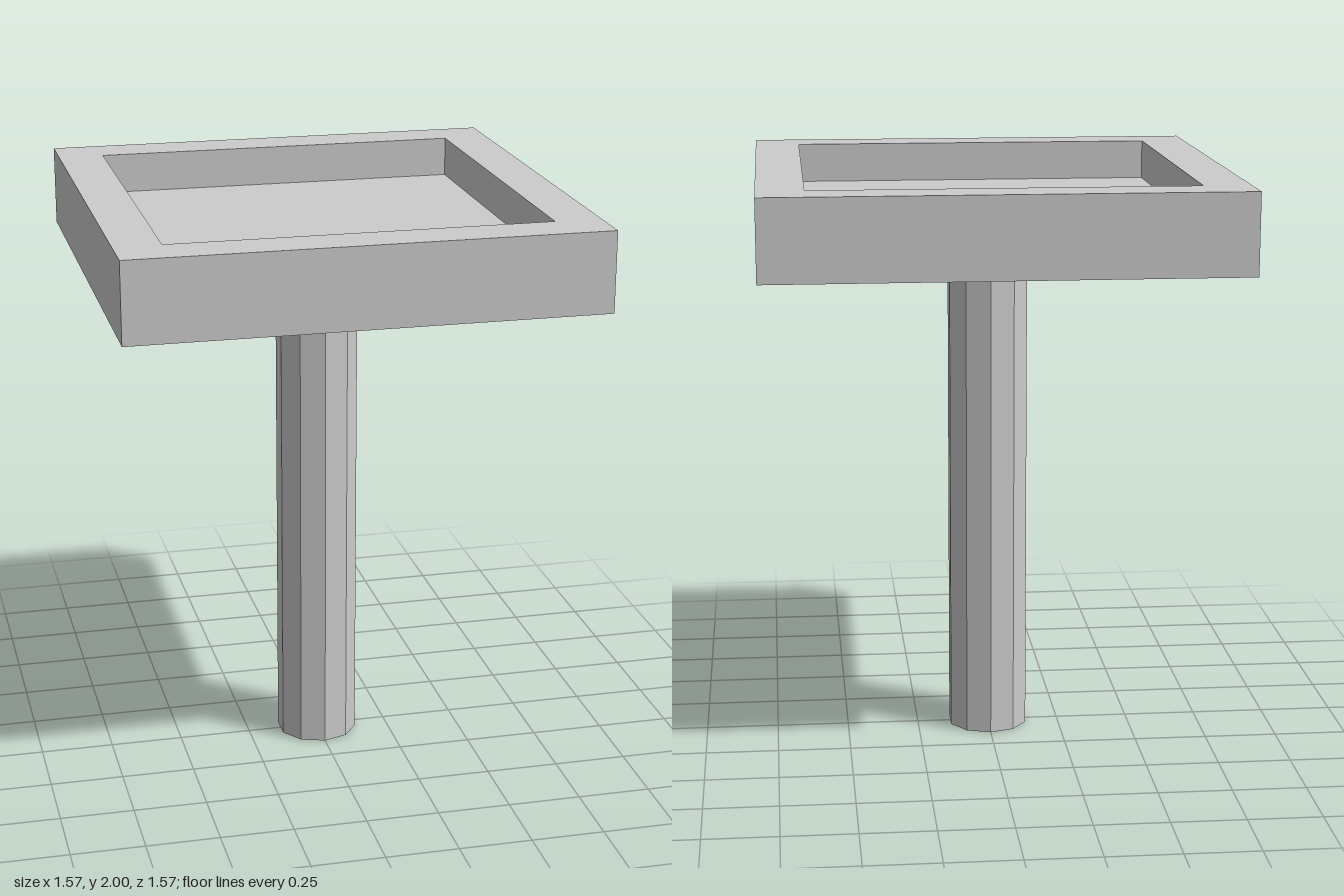
import * as THREE from 'three';

const HALF = 0.785;      // half width of the tray
const INNER = 0.63;      // half width of the recess
const UNDERSIDE = 1.73;  // where the post meets the tray
const FLOOR = 1.865;     // floor of the recess
const TOP = 2;

export function createModel() {
  const model = new THREE.Group();
  const material = new THREE.MeshStandardMaterial({ color: 0xcccccc, flatShading: true });

  // Ten-sided post
  const post = new THREE.Mesh(new THREE.CylinderGeometry(0.14, 0.14, UNDERSIDE, 10), material);
  post.name = 'post';
  post.position.y = UNDERSIDE / 2;
  model.add(post);

  // Square tray with a recessed top: one profile turned in four steps
  const profile = [
    [0, UNDERSIDE], [HALF, UNDERSIDE], [HALF, TOP],
    [INNER, TOP], [INNER, FLOOR], [0, FLOOR],
  ].map(([half, y]) => new THREE.Vector2(half * Math.SQRT2, y));
  const tray = new THREE.Mesh(new THREE.LatheGeometry(profile, 4, Math.PI / 4), material);
  tray.name = 'tray';
  model.add(tray);

  return model;
}
